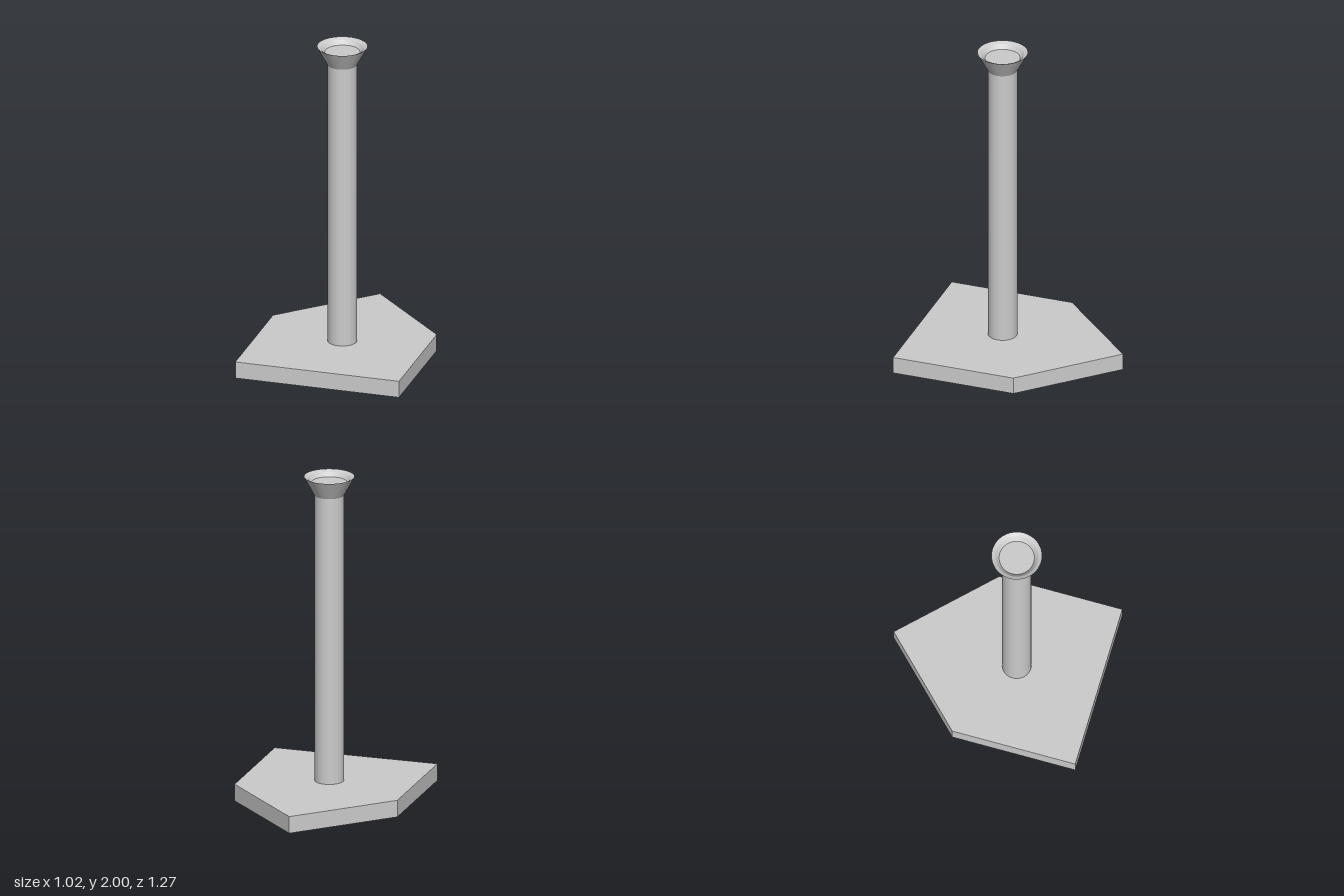
import * as THREE from 'three';

const material = new THREE.MeshStandardMaterial({ color: 0xcccccc });
const POST_Z = 0.127;
const SIDES = 48;

function addPart(group, name, geometry) {
  const mesh = new THREE.Mesh(geometry, material);
  mesh.name = name;
  group.add(mesh);
  return mesh;
}

// Joins separate lathe strips so every profile corner stays sharp
function addLathe(group, name, points) {
  const part = new THREE.Group();
  part.name = name;
  part.position.z = POST_Z;
  for (let i = 0; i < points.length - 1; i++) {
    const strip = [points[i], points[i + 1]].map(([r, y]) => new THREE.Vector2(r, y));
    addPart(part, `${name}Surface${i + 1}`, new THREE.LatheGeometry(strip, SIDES));
  }
  group.add(part);
}

export function createModel() {
  const model = new THREE.Group();
  model.name = 'ballTee';

  // Five-sided base plate, pointed at the back (shape y becomes -z)
  const outline = new THREE.Shape([
    [-0.51, -0.635], [0.51, -0.635], [0.51, 0.127], [0, 0.635], [-0.51, 0.127],
  ].map(([x, y]) => new THREE.Vector2(x, y)));
  const plate = new THREE.ExtrudeGeometry(outline, { depth: 0.104, bevelEnabled: false });
  plate.rotateX(-Math.PI / 2);
  addPart(model, 'basePlate', plate);

  // Upright post
  const post = new THREE.CylinderGeometry(0.088, 0.088, 1.784, SIDES, 1, true);
  addPart(model, 'post', post).position.set(0, 0.996, POST_Z);

  // Flared cup: outside wall, shallow rim slope, steeper inner slope, floor
  addLathe(model, 'cup', [
    [0.088, 1.885], [0.151, 2], [0.128, 1.989], [0.105, 1.964], [0, 1.964],
  ]);

  return model;
}
